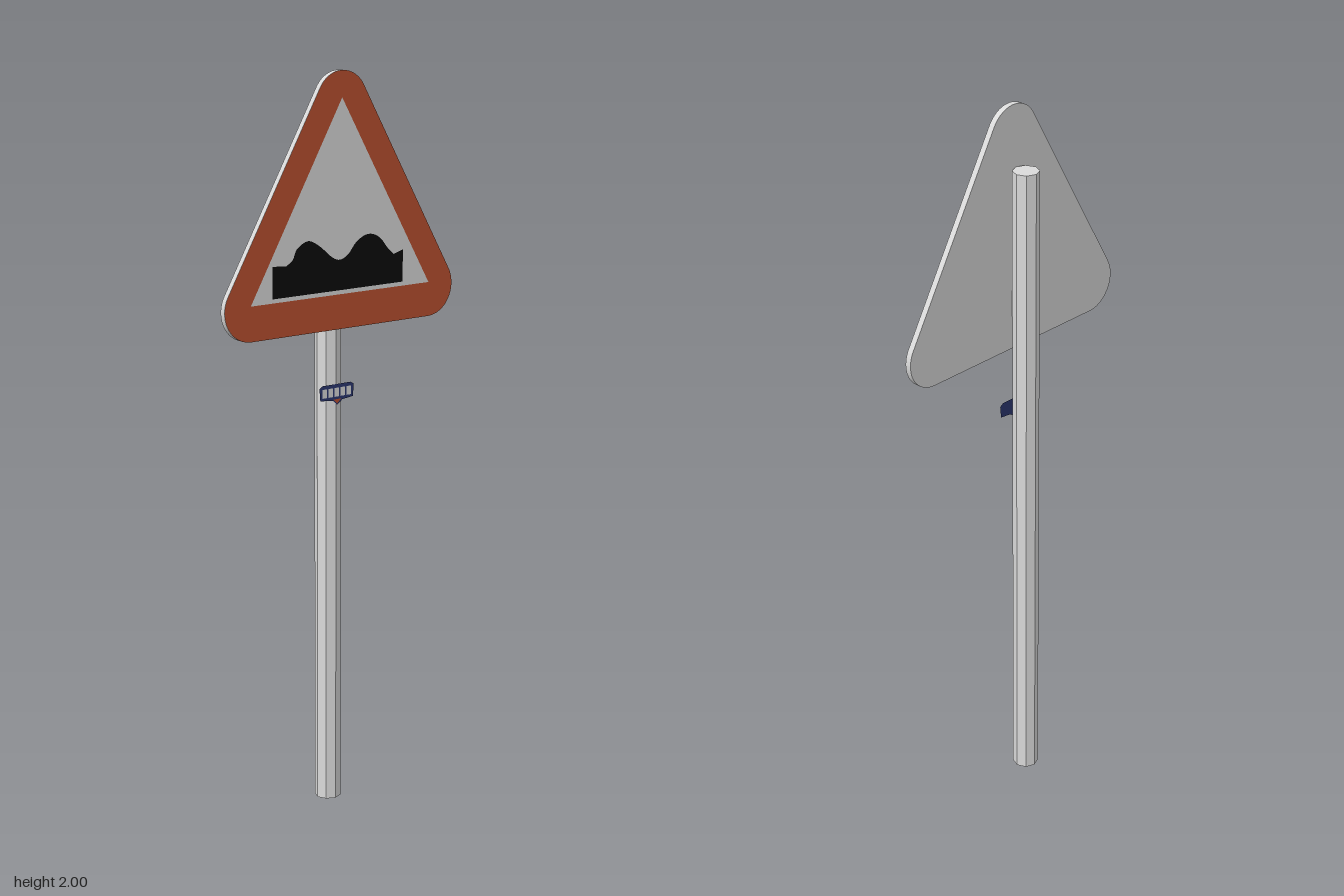
import * as THREE from 'three';
import { toCreasedNormals } from 'three/addons/utils/BufferGeometryUtils.js';

const mat = (name, color, side = THREE.FrontSide) => {
  const m = new THREE.MeshStandardMaterial({ color, side });
  m.name = name;
  return m;
};

const polygon = (points) => new THREE.Shape(points.map(([x, y]) => new THREE.Vector2(x, y)));

// Triangle with rounded corners: arcs around the three corner centres
function roundedTriangle(halfWidth, bottom, top, r) {
  const s = new THREE.Shape();
  const x = halfWidth - r;
  const a = Math.PI / 6;
  s.absarc(x, bottom + r, r, -Math.PI / 2, a);
  s.absarc(0, top - r, r, a, Math.PI - a);
  s.absarc(-x, bottom + r, r, Math.PI - a, Math.PI * 1.5);
  s.closePath();
  return s;
}

export function createModel() {
  const model = new THREE.Group();
  model.name = 'roadSign';

  const metal = mat('grey metal', 0xdadada);
  const white = mat('white face', 0xdcdcdc);
  const red = mat('orange red', 0xbd5231);
  const black = mat('black', 0x0c0c0c);
  const navy = mat('navy', 0x2c3872, THREE.DoubleSide);

  const add = (name, geometry, material, x = 0, y = 0, z = 0) => {
    const mesh = new THREE.Mesh(geometry, material);
    mesh.name = name;
    mesh.position.set(x, y, z);
    model.add(mesh);
    return mesh;
  };

  // Octagonal post, standing slightly off centre behind the board
  const post = new THREE.CylinderGeometry(0.0355, 0.0355, 1.83, 8);
  add('post', toCreasedNormals(post, 0.5), metal, -0.007, 0.915, -0.015);

  // Board with rounded corners
  const outline = () => roundedTriangle(0.379, 1.323, 2, 0.083);
  const board = new THREE.ExtrudeGeometry(outline(), {
    depth: 0.017, bevelEnabled: false, curveSegments: 16,
  });
  add('board', toCreasedNormals(board, 0.5), metal, 0, 0, 0.02);

  // Painted border and inner triangle
  const inner = [[-0.297, 1.416], [0.297, 1.416], [0, 1.93]];
  const border = outline();
  border.holes.push(polygon(inner));
  add('border', new THREE.ShapeGeometry(border, 16), red, 0, 0, 0.0378);
  add('signFace', new THREE.ShapeGeometry(polygon(inner)), white, 0, 0, 0.0378);

  // Uneven road symbol: two humps on a flat base
  const bumps = new THREE.Shape();
  bumps.moveTo(-0.228, 1.427);
  bumps.lineTo(0.206, 1.427);
  bumps.lineTo(0.206, 1.514);
  bumps.lineTo(0.175, 1.505);
  bumps.splineThru([[0.155, 1.522], [0.125, 1.555], [0.088, 1.567], [0.05, 1.552],
    [0.02, 1.52], [-0.008, 1.508], [-0.035, 1.518], [-0.075, 1.55], [-0.112, 1.567],
    [-0.148, 1.55], [-0.163, 1.522], [-0.185, 1.508]].map(([x, y]) => new THREE.Vector2(x, y)));
  bumps.lineTo(-0.228, 1.512);
  bumps.closePath();
  add('bumpSymbol', new THREE.ShapeGeometry(bumps, 6), black, 0, 0, 0.0384);

  // Small plate on the post: navy backing, pale blocks and a red tip
  const tag = polygon([[-0.06, 1.132], [-0.018, 1.128], [-0.004, 1.115], [0.014, 1.128],
    [0.05, 1.132], [0.053, 1.165], [0.042, 1.172], [-0.052, 1.172], [-0.063, 1.165]]);
  add('tagPlate', new THREE.ShapeGeometry(tag), navy, 0, 0, 0.0215);
  for (let i = 0; i < 5; i++) {
    add('tagBlock', new THREE.PlaneGeometry(0.015, 0.024), white, -0.045 + i * 0.02, 1.15, 0.0222);
  }
  const tip = polygon([[-0.016, 1.131], [-0.004, 1.119], [0.01, 1.131]]);
  add('tagTip', new THREE.ShapeGeometry(tip), red, 0, 0, 0.0222);

  return model;
}
